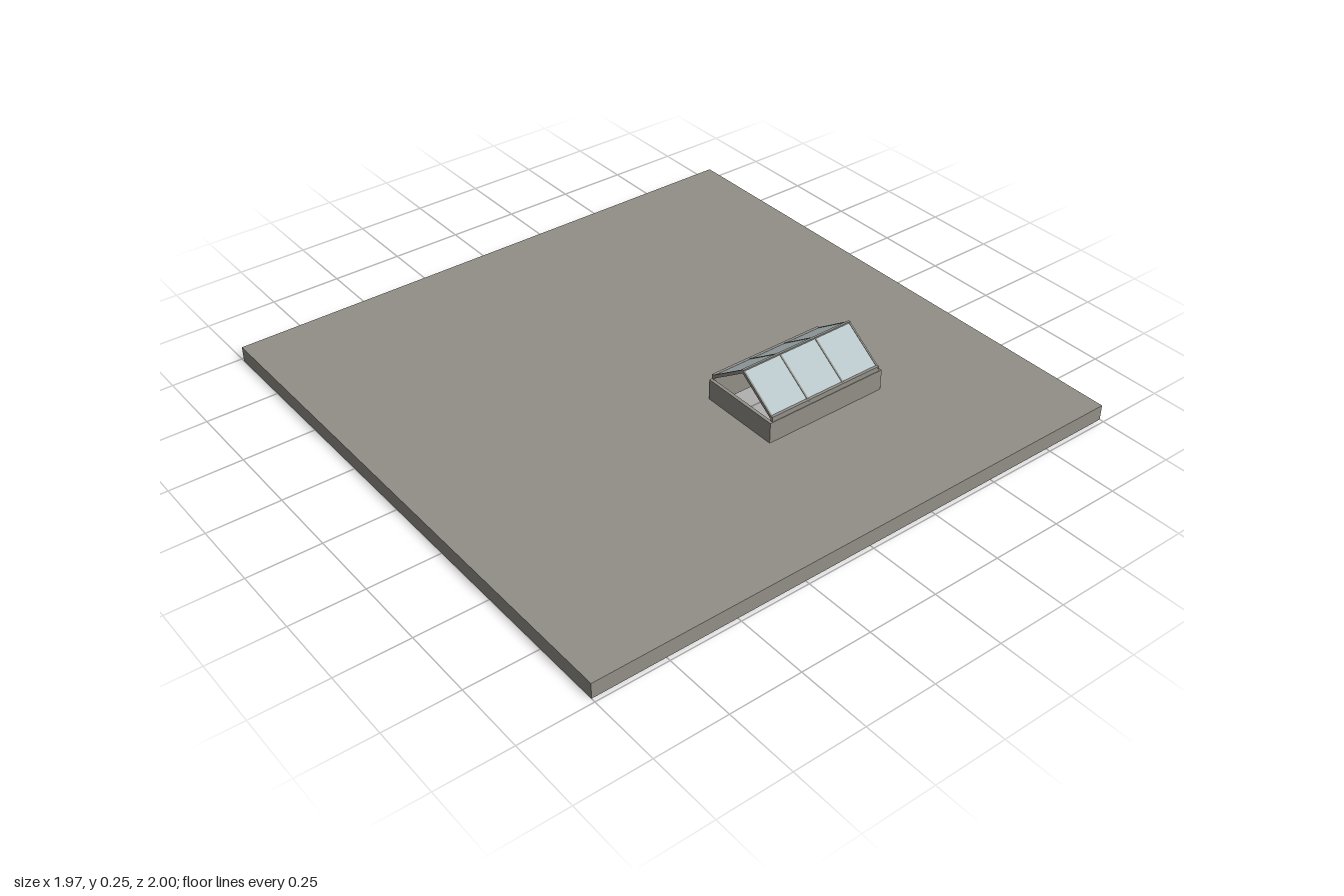
import * as THREE from 'three';

const material = (name, color) => Object.assign(new THREE.MeshStandardMaterial({ color }), { name });

// Rectangle [x0, x1, z0, z1] with a rectangular hole, raised from y0 to y1
function frame(name, outer, hole, y0, y1, mat) {
  const corners = ([x0, x1, z0, z1]) => [[x0, -z1], [x1, -z1], [x1, -z0], [x0, -z0]].map(p => new THREE.Vector2(...p));
  const shape = new THREE.Shape(corners(outer));
  shape.holes.push(new THREE.Path(corners(hole)));
  const geo = new THREE.ExtrudeGeometry(shape, { depth: y1 - y0, bevelEnabled: false });
  geo.rotateX(-Math.PI / 2).translate(0, y0, 0);
  const mesh = new THREE.Mesh(geo, mat);
  mesh.name = name;
  return mesh;
}

function box(name, w, h, d, x, y, z, mat) {
  const mesh = new THREE.Mesh(new THREE.BoxGeometry(w, h, d), mat);
  mesh.name = name;
  mesh.position.set(x, y, z);
  return mesh;
}

export function createModel() {
  const model = new THREE.Group();
  const concrete = material('concrete', 0x918f87);
  const glass = material('glass', 0xb6c4c8);

  // Flat roof, hollow underneath with a rim all round
  const edge = [-0.985, 0.985, -1, 1];
  const opening = [0.203, 0.477, -0.495, -0.052];
  model.add(frame('roofSlab', edge, opening, 0.035, 0.055, concrete));
  model.add(frame('slabRim', edge, [-0.965, 0.965, -0.98, 0.98], 0, 0.035, concrete));

  // Upstand around the opening
  model.add(frame('skylightCurb', [0.192, 0.488, -0.507, -0.04], opening, 0.055, 0.13, concrete));

  // Gabled skylight, open at both ends
  const skylight = new THREE.Group();
  skylight.name = 'skylight';
  skylight.position.set(0.34, 0, -0.273);
  model.add(skylight);

  const length = 0.446, run = 0.143, eaveY = 0.138, ridgeY = 0.238;
  const rise = ridgeY - eaveY, slopeLength = Math.hypot(run, rise);
  for (const side of [-1, 1]) {
    skylight.add(box('eaveRail', 0.01, 0.018, length, side * 0.141, 0.139, 0, concrete));
    const slope = new THREE.Group();
    slope.name = 'skylightSlope';
    slope.position.set(side * run / 2, (eaveY + ridgeY) / 2, 0);
    slope.rotation.z = -side * Math.atan2(rise, run);
    slope.add(box('glassPane', slopeLength, 0.008, length - 0.004, 0, 0, 0, glass));
    // Glazing bars across the slope
    for (let i = 0; i < 4; i++) {
      const z = (i / 3 - 0.5) * (length - 0.006);
      slope.add(box('glazingBar', slopeLength, 0.011, 0.006, 0, 0, z, concrete));
    }
    skylight.add(slope);
  }
  skylight.add(box('ridgeBar', 0.008, 0.01, length, 0, ridgeY + 0.002, 0, concrete));
  return model;
}
